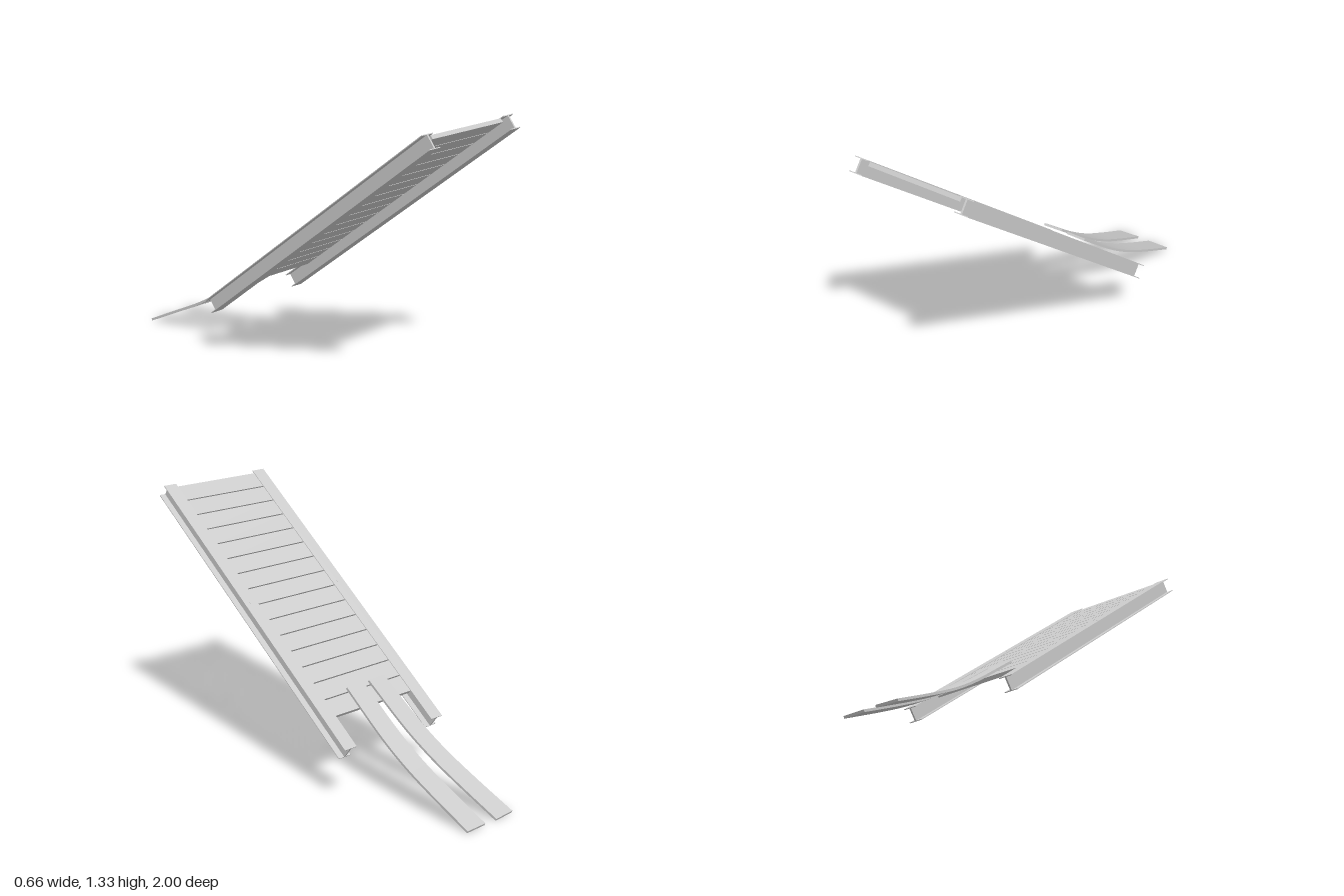
import * as THREE from 'three';

const material = new THREE.MeshStandardMaterial({ color: 0xcccccc });

function mesh(name, geometry, x = 0, y = 0, z = 0) {
  const m = new THREE.Mesh(geometry, material);
  m.name = name;
  m.position.set(x, y, z);
  return m;
}

// I-beam section, extruded along the slope
function beamGeometry(width, height, length, flange, web) {
  const w = width / 2, h = height / 2, t = web / 2, f = h - flange;
  const outline = [[-w, -h], [w, -h], [w, -f], [t, -f], [t, f], [w, f],
    [w, h], [-w, h], [-w, f], [-t, f], [-t, -f], [-w, -f]];
  const shape = new THREE.Shape(outline.map(([x, y]) => new THREE.Vector2(x, y)));
  return new THREE.ExtrudeGeometry(shape, { depth: length, bevelEnabled: false })
    .translate(0, 0, -length / 2);
}

// Flat strip swept along a centre line, its width growing from w0 to w1
function stripGeometry(points, w0, w1, thickness) {
  const curve = new THREE.CatmullRomCurve3(points.map((p) => new THREE.Vector3(...p)));
  const geometry = new THREE.BoxGeometry(1, thickness, 1, 1, 1, 24);
  const pos = geometry.attributes.position;
  for (let i = 0; i < pos.count; i++) {
    const t = THREE.MathUtils.clamp(0.5 - pos.getZ(i), 0, 1);
    const c = curve.getPointAt(t), d = curve.getTangentAt(t);
    const side = new THREE.Vector3(-d.z, 0, d.x).normalize();
    const up = new THREE.Vector3().crossVectors(side, d);
    c.addScaledVector(side, pos.getX(i) * THREE.MathUtils.lerp(w0, w1, t));
    c.addScaledVector(up, pos.getY(i));
    pos.setXYZ(i, c.x, c.y, c.z);
  }
  geometry.computeVertexNormals();
  return geometry;
}

export function createModel() {
  const model = new THREE.Group();
  model.name = 'loadingRamp';

  // Sloping frame: local z runs up the slope, local y is square to the deck
  const ramp = new THREE.Group();
  ramp.name = 'rampFrame';
  ramp.position.set(0, 0.779, 0.295);
  ramp.rotation.x = -Math.atan2(1.045, 1.365);
  model.add(ramp);

  // Side beams with a small bolt in each top flange
  const height = 0.073, top = height / 2;
  const beam = beamGeometry(0.075, height, 1.72, 0.004, 0.009);
  const bolt = new THREE.CylinderGeometry(0.008, 0.008, 0.006, 16);
  for (const [side, s] of [['left', 1], ['right', -1]]) {
    ramp.add(mesh(side + 'Beam', beam, s * 0.2925, 0, 0));
    ramp.add(mesh(side + 'Bolt', bolt, s * 0.2925, top - 0.002, 0.053));
  }

  // Deck planks with narrow gaps
  const deck = new THREE.Group();
  deck.name = 'deck';
  const count = 15, pitch = 0.1016, gap = 0.006, thick = 0.02;
  const plank = new THREE.BoxGeometry(0.51, thick, pitch - gap);
  for (let i = 0; i < count; i++) {
    deck.add(mesh('plank' + (i + 1), plank, 0, top - 0.003 - thick / 2, -0.678 + (i + 0.5) * pitch));
  }
  ramp.add(deck);

  // Two curved boards leading from the deck down to the ground
  model.add(mesh('rightApproachBoard', stripGeometry([
    [-0.09, 0.481, -0.182], [-0.1, 0.289, -0.45], [-0.11, 0.192, -0.61],
    [-0.12, 0.112, -0.77], [-0.135, 0.006, -0.997]], 0.107, 0.122, 0.012)));
  model.add(mesh('leftApproachBoard', stripGeometry([
    [0.053, 0.478, -0.182], [0.058, 0.284, -0.45], [0.06, 0.189, -0.61],
    [0.06, 0.11, -0.77], [0.058, 0.006, -0.997]], 0.11, 0.121, 0.012)));

  return model;
}
